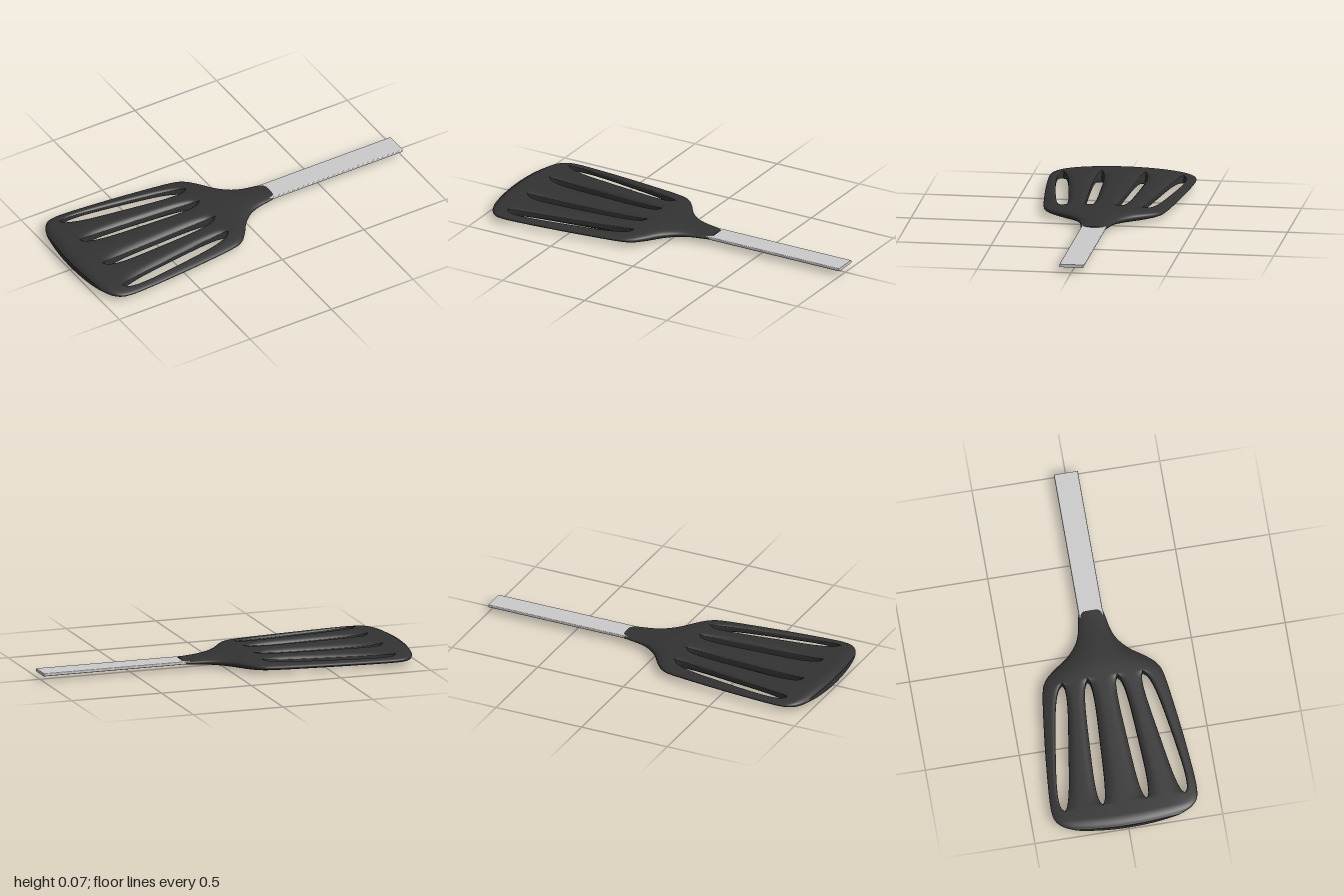
import * as THREE from 'three';
import { mergeVertices } from 'three/addons/utils/BufferGeometryUtils.js';

const MID_Y = 0.036;
const SLOT_START = -0.865, SLOT_END = -0.165;

// Half outline of the head: [x, half width]
const outline = new THREE.SplineCurve([
  [-1, 0.28], [-0.985, 0.325], [-0.965, 0.352], [-0.93, 0.374], [-0.88, 0.385], [-0.8, 0.388],
  [-0.6, 0.373], [-0.4, 0.352], [-0.2, 0.325], [-0.13, 0.3], [-0.08, 0.25], [-0.02, 0.168],
  [0.04, 0.115], [0.1, 0.088], [0.17, 0.074], [0.205, 0.066], [0.22, 0.05],
].map(([x, w]) => new THREE.Vector2(x, w)));

// Half thickness along the centre line
function halfThickness(x) {
  const front = Math.min(1, (x + 1) / 0.06);
  const back = THREE.MathUtils.smoothstep(x, -0.12, 0.25);
  const nose = Math.max(0.45, Math.sqrt(1 - (1 - front) ** 2));
  return 0.036 * nose * (1 - 0.62 * back);
}

// Slot centre (as a share of the half width) and half opening at x
function slotAt(x, outer) {
  const t = THREE.MathUtils.clamp((x - SLOT_START) / (SLOT_END - SLOT_START), 0, 1);
  const ratio = outer ? THREE.MathUtils.lerp(0.825, 0.68, t) : THREE.MathUtils.lerp(0.3, 0.25, t);
  const open = Math.sqrt(Math.max(0, 1 - Math.abs(2 * t - 1) ** 4));
  return { ratio, open, half: open * (outer ? 0.034 : 0.028) };
}

// Five ribs run the full length; they fuse wherever the slots are closed
function headGeometry() {
  const STATIONS = 150, N = 14, RING = 2 * (N + 1);
  const position = [], index = [];
  for (let rib = 0; rib < 5; rib++) {
    const base = position.length / 3;
    const opens = [];
    for (let i = 0; i <= STATIONS; i++) {
      const { x, y: w } = outline.getPoint(i / STATIONS);
      const outer = slotAt(x, true), inner = slotAt(x, false);
      const o = outer.ratio * w, n = inner.ratio * w;
      const edges = [
        [-w, -o - outer.half], [-o + outer.half, -n - inner.half], [-n + inner.half, n - inner.half],
        [n + inner.half, o - outer.half], [o + outer.half, w],
      ][rib];
      const open = [rib === 0 ? 0 : outer.open, rib === 4 ? 0 : outer.open];
      opens.push(open[0] + open[1] > 0);
      const bow = 0.025 * Math.max(0, 1 - (x + 1) / 0.12);
      const ring = [];
      for (let j = 0; j <= N; j++) {
        const u = -Math.cos(Math.PI * j / N);
        const z = THREE.MathUtils.lerp(edges[0], edges[1], (u + 1) / 2);
        const lens = Math.pow(Math.max(0, 1 - (z / w) ** 2), 0.44);
        const round = 1 - 0.6 * open[u < 0 ? 0 : 1] * Math.abs(u) ** 4;
        ring.push([x + bow * (z / 0.28) ** 2, halfThickness(x) * lens * round, z]);
      }
      for (const [px, h, z] of ring) position.push(px, MID_Y + h, z);
      for (const [px, h, z] of ring.reverse()) position.push(px, MID_Y - h, z);
    }
    for (let i = 0; i < STATIONS; i++) {
      for (let k = 0; k < RING; k++) {
        const wall = k === N || k === RING - 1;
        const rim = (rib === 4 && k === N) || (rib === 0 && k === RING - 1);
        if (wall && (rim || !(opens[i] || opens[i + 1]))) continue;
        const a = base + i * RING + k, b = base + i * RING + (k + 1) % RING;
        index.push(a, b, a + RING, b, b + RING, a + RING);
      }
    }
    // Close the front and neck ends
    const last = base + STATIONS * RING;
    for (let k = 1; k < RING - 1; k++) {
      index.push(base, base + k + 1, base + k, last, last + k, last + k + 1);
    }
  }
  let geometry = new THREE.BufferGeometry();
  geometry.setAttribute('position', new THREE.Float32BufferAttribute(position, 3));
  geometry.setIndex(index);
  geometry = mergeVertices(geometry, 1e-5);
  geometry.computeVertexNormals();
  return geometry;
}

// Flat bar with softened long edges
function handleGeometry(x0, x1, halfWidth, halfHeight, r) {
  const s = new THREE.Shape();
  s.moveTo(-halfWidth + r, -halfHeight);
  s.lineTo(halfWidth - r, -halfHeight);
  s.absarc(halfWidth - r, -halfHeight + r, r, -Math.PI / 2, 0);
  s.absarc(halfWidth - r, halfHeight - r, r, 0, Math.PI / 2);
  s.absarc(-halfWidth + r, halfHeight - r, r, Math.PI / 2, Math.PI);
  s.absarc(-halfWidth + r, -halfHeight + r, r, Math.PI, Math.PI * 1.5);
  return new THREE.ExtrudeGeometry(s, { depth: x1 - x0, bevelEnabled: false, curveSegments: 5 })
    .rotateY(Math.PI / 2).translate(x0, MID_Y + 0.001, 0);
}

export function createModel() {
  const model = new THREE.Group();
  model.name = 'spatula';

  const head = new THREE.Mesh(headGeometry(), new THREE.MeshStandardMaterial({ color: 0x333333 }));
  head.name = 'slottedHead';

  const handle = new THREE.Mesh(
    handleGeometry(0.1, 1, 0.064, 0.008, 0.005),
    new THREE.MeshStandardMaterial({ color: 0xcccccc }),
  );
  handle.name = 'handle';

  model.add(head, handle);
  return model;
}
